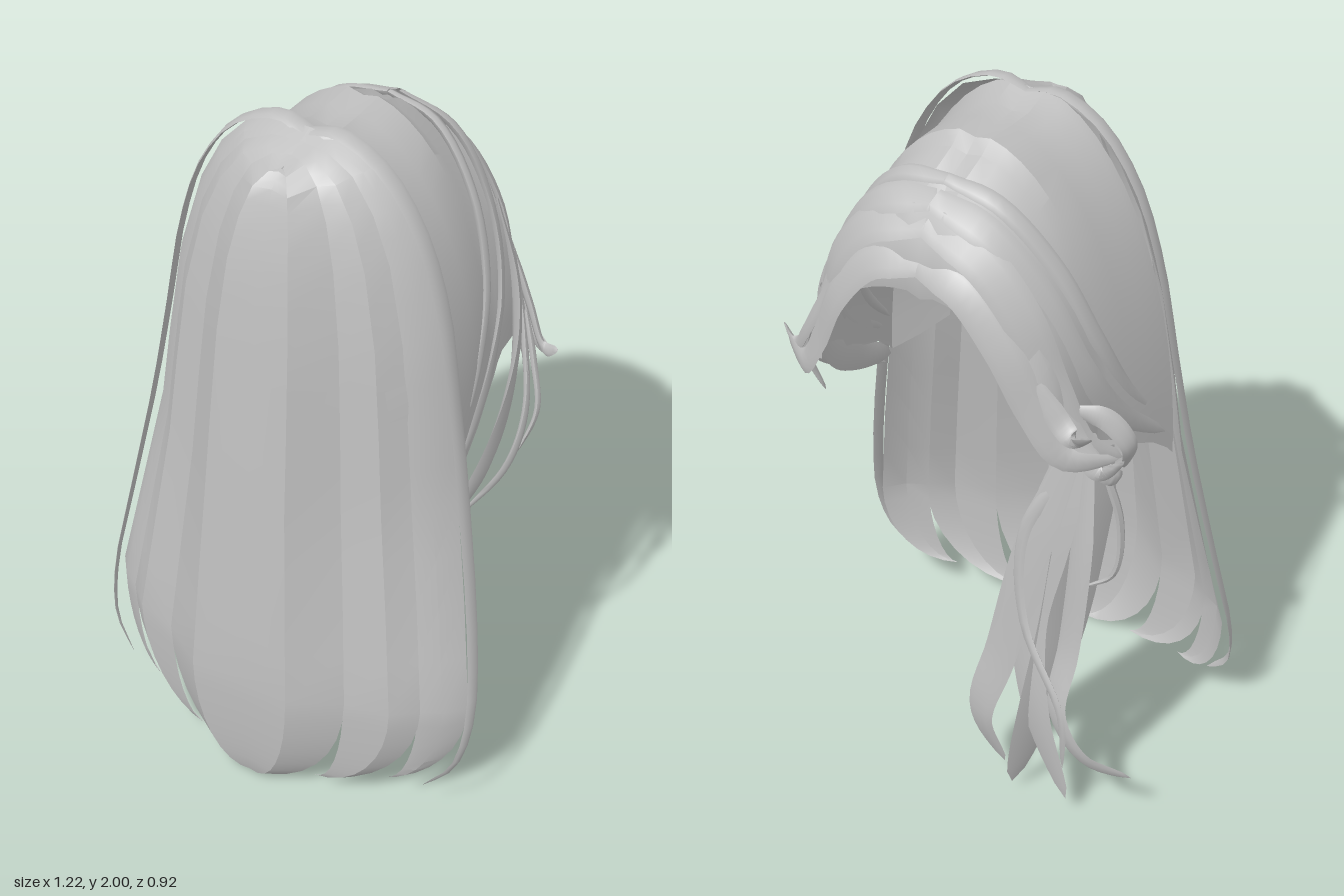
import * as THREE from 'three';
import { toCreasedNormals } from 'three/addons/utils/BufferGeometryUtils.js';

const hair = new THREE.MeshStandardMaterial({ color: 0xbfbfbf, side: THREE.DoubleSide });
hair.name = 'hair grey';

// Surface from a grid of points: fn(i, j) -> [x, y, z]
function grid(rows, cols, fn, crease = 0.45) {
  const pos = [], idx = [];
  for (let i = 0; i <= rows; i++) for (let j = 0; j <= cols; j++) pos.push(...fn(i, j));
  for (let i = 0; i < rows; i++) for (let j = 0; j < cols; j++) {
    const a = i * (cols + 1) + j, b = a + cols + 1;
    idx.push(a, b, a + 1, a + 1, b, b + 1);
  }
  const g = new THREE.BufferGeometry();
  g.setAttribute('position', new THREE.Float32BufferAttribute(pos, 3));
  g.setIndex(idx);
  return toCreasedNormals(g, crease);
}

function mesh(name, geometry) {
  const m = new THREE.Mesh(geometry, hair);
  m.name = name;
  return m;
}

// Linear lookup in a table of rows
function sample(table, t) {
  const f = t * (table.length - 1), k = Math.min(Math.floor(f), table.length - 2);
  return table[k].map((v, n) => THREE.MathUtils.lerp(v, table[k + 1][n], f - k));
}

// Long curtain of hair: height, half width, outer z, edge z
const curtain = [
  [1.985, 0, 0.2, 0.08], [1.98, 0.1, 0.225, 0.075], [1.94, 0.2, 0.26, 0.07], [1.85, 0.285, 0.29, 0.07],
  [1.72, 0.355, 0.32, 0.07], [1.5, 0.42, 0.35, 0.08], [1.25, 0.458, 0.375, 0.09], [1, 0.49, 0.4, 0.1],
  [0.7, 0.545, 0.425, 0.14], [0.38, 0.6, 0.45, 0.19],
];

// One clump: section points [width fraction, depth fraction], ending in a hooked tip
function clump(section, tip, mirror = 1) {
  const upper = 18, lower = 8;
  return grid(upper + lower, section.length - 1, (i, j) => {
    const [fx, fz] = section[j];
    const [h, w, zf, ze] = sample(curtain, Math.min(i / upper, 1));
    let p = [fx * w, h * (1 - 0.03 * fz * (h / 2) ** 4), ze + (zf - ze) * fz];
    if (i > upper) {
      const a = (i - upper) / lower * Math.PI / 2, c = Math.cos(a), s = Math.sin(a);
      p = [tip[0] + (p[0] - tip[0]) * c, p[1] + (tip[1] - p[1]) * s, tip[2] + (p[2] - tip[2]) * c];
    }
    return [p[0] * mirror, p[1], p[2]];
  });
}

// Crown arches, the first two tucked inside the curtain: z, top, half width, hem
const crown = [
  [0.22, 1.82, 0.35, 1.08], [0.15, 1.91, 0.41, 1.03],
  [0.085, 1.995, 0.46, 1], [0.06, 1.985, 0.455, 1.03], [0, 1.965, 0.445, 1.08], [-0.08, 1.965, 0.43, 1.12],
  [-0.17, 1.97, 0.41, 1.18], [-0.21, 1.94, 0.4, 1.2], [-0.28, 1.91, 0.4, 1.23], [-0.31, 1.885, 0.395, 1.25],
  [-0.38, 1.86, 0.395, 1.27], [-0.42, 1.79, 0.385, 1.28], [-0.44, 1.7, 0.37, 1.28], [-0.43, 1.63, 0.35, 1.28],
];

function crownGeometry() {
  const cols = 28;
  return grid(crown.length - 1, cols, (i, j) => {
    const [z, top, w, hem] = crown[i], a = (j / cols - 0.5) * Math.PI;
    const x = w * Math.sin(a), notch = j === cols / 2 ? 0.015 : 0;
    return [x, hem + (top - hem) * Math.cos(a) - notch, z + (z < -0.25 ? 0.35 * x * x : 0)];
  });
}

// Flat lens-shaped lock along a curve, narrowing to a tip; root = relative width at its start,
// facing = fixed direction of its flat face (otherwise away from the head)
function strand(points, width, { thick = 0.01, root = 0.5, mirror = 1, facing } = {}) {
  const curve = new THREE.CatmullRomCurve3(points.map(p => new THREE.Vector3(p[0] * mirror, p[1], p[2])));
  const n = 26, sides = 6;
  const frames = [];
  for (let i = 0; i <= n; i++) {
    const t = i / n, p = curve.getPoint(t), tan = curve.getTangent(t);
    const out = facing ? new THREE.Vector3(...facing) : new THREE.Vector3(p.x, Math.max(0, p.y - 1.4), p.z).normalize();
    const side = new THREE.Vector3().crossVectors(tan, out).normalize();
    const nor = new THREE.Vector3().crossVectors(side, tan).normalize();
    const k = Math.min(1, root + t * 2.5) * Math.sqrt(Math.max(0, 1 - t ** 3));
    frames.push({ p, side, nor, k });
  }
  return grid(n, sides, (i, j) => {
    const { p, side, nor, k } = frames[i], a = j / sides * Math.PI * 2;
    return p.clone().addScaledVector(side, Math.cos(a) * k * width / 2)
      .addScaledVector(nor, Math.sin(a) * k * thick).toArray();
  }, 0.8);
}

export function createModel() {
  const model = new THREE.Group();
  model.name = 'longHair';
  const add = (name, geometry) => model.add(mesh(name, geometry));

  // Long curtain
  add('curtainCentre', clump(
    [[-0.49, 0.67], [-0.26, 1], [0, 0.95], [0.26, 1], [0.49, 0.67]], [0, 0, 0.4]));
  for (const mirror of [1, -1]) {
    add('curtainMiddle', clump([[0.485, 0.67], [0.7, 0.55], [0.81, 0.33]], [0.19, 0.05, 0.36], mirror));
    add('curtainOuter', clump([[0.8, 0.34], [0.9, 0.22], [0.98, 0]], [0.39, 0.1, 0.3], mirror));
    // Ribbon framing the curtain
    add('edgeStrand', strand([[0, 1.975, 0.08], [0.09, 1.995, 0.08], [0.22, 1.935, 0.08], [0.33, 1.79, 0.08],
      [0.405, 1.58, 0.08], [0.455, 1.3, 0.09], [0.505, 1, 0.11], [0.575, 0.6, 0.16], [0.605, 0.35, 0.21],
      [0.58, 0.2, 0.25], [0.5, 0.11, 0.28]], 0.05, { thick: 0.005, root: 0.8, mirror }));
  }

  // Crown
  add('crown', crownGeometry());

  // Parted fringe and the bands sweeping over the sides
  for (const mirror of [1, -1]) {
    const o = { thick: 0.012, root: 0.7, mirror };
    add('fringe', strand([[0, 1.72, -0.425], [0.13, 1.69, -0.437], [0.25, 1.55, -0.435], [0.33, 1.38, -0.415],
      [0.41, 1.25, -0.385], [0.52, 1.25, -0.31]], 0.1, o));
    add('fringe', strand([[0, 1.82, -0.39], [0.16, 1.77, -0.4], [0.28, 1.63, -0.39], [0.355, 1.42, -0.36],
      [0.42, 1.26, -0.32], [0.49, 1.2, -0.24]], 0.11, o));
    add('crownBand', strand([[0, 1.9, -0.3], [0.15, 1.865, -0.29], [0.29, 1.71, -0.25], [0.375, 1.5, -0.19],
      [0.415, 1.3, -0.09], [0.445, 1.13, 0.06]], 0.05, o));
    add('crownBand', strand([[0, 1.87, -0.36], [0.16, 1.82, -0.36], [0.29, 1.67, -0.33], [0.375, 1.45, -0.27],
      [0.42, 1.26, -0.15], [0.455, 1.09, 0.05]], 0.09, o));
  }

  // Side band and loose strands on the left
  add('sideBand', strand([[0.29, 1.64, -0.37], [0.37, 1.45, -0.34], [0.43, 1.28, -0.27], [0.465, 1.14, -0.16],
    [0.48, 1.04, -0.03], [0.475, 0.97, 0.1]], 0.13, { thick: 0.012 }));
  add('leftStrand', strand([[0.35, 1.5, -0.37], [0.43, 1.28, -0.31], [0.51, 1.13, -0.19], [0.525, 1.03, -0.07],
    [0.48, 0.95, 0.08]], 0.05));
  add('leftStrand', strand([[0.3, 1.55, -0.4], [0.41, 1.34, -0.37], [0.48, 1.25, -0.33], [0.54, 1.28, -0.3]], 0.05));
  add('leftStrand', strand([[0.42, 1.35, -0.33], [0.48, 1.23, -0.28], [0.53, 1.13, -0.22], [0.5, 1, -0.18]], 0.04));

  // Curls on the right side
  const curls = [
    [[-0.36, 1.4, -0.36], [-0.42, 1.27, -0.34], [-0.48, 1.2, -0.33], [-0.53, 1.24, -0.3]],
    [[-0.4, 1.36, -0.32], [-0.47, 1.34, -0.29], [-0.52, 1.26, -0.26], [-0.49, 1.16, -0.23]],
    [[-0.39, 1.3, -0.34], [-0.45, 1.2, -0.31], [-0.49, 1.15, -0.27], [-0.45, 1.12, -0.21]],
    [[-0.33, 1.46, -0.4], [-0.4, 1.35, -0.39], [-0.44, 1.33, -0.4], [-0.5, 1.37, -0.42]],
  ];
  for (const c of curls) add('curl', strand(c, 0.06));

  // Wavy lock hanging on the right side: path, width, facing
  const outward = [-0.9, 0, -0.45], back = [0.25, 0, -0.97];
  const locks = [
    [[[-0.43, 1.22, -0.27], [-0.4, 0.95, -0.285], [-0.36, 0.65, -0.3], [-0.31, 0.35, -0.345], [-0.24, 0.04, -0.375]], 0.18, outward],
    [[[-0.4, 1.24, -0.34], [-0.34, 0.95, -0.35], [-0.28, 0.65, -0.355], [-0.32, 0.35, -0.38], [-0.42, 0.07, -0.38]], 0.15, back],
    [[[-0.43, 1.22, -0.31], [-0.43, 0.9, -0.34], [-0.41, 0.6, -0.36], [-0.4, 0.4, -0.4], [-0.48, 0.26, -0.39], [-0.6, 0.2, -0.33]], 0.08, back],
    [[[-0.39, 1.2, -0.35], [-0.28, 0.85, -0.36], [-0.2, 0.5, -0.37], [-0.14, 0.25, -0.38], [-0.2, 0.08, -0.35]], 0.12, back],
    [[[-0.41, 1.2, -0.34], [-0.27, 0.95, -0.36], [-0.28, 0.65, -0.38], [-0.42, 0.42, -0.42], [-0.42, 0.2, -0.4]], 0.04, back],
    [[[-0.45, 1.2, -0.28], [-0.49, 0.98, -0.24], [-0.47, 0.8, -0.24], [-0.4, 0.75, -0.27]], 0.025, outward],
  ];
  for (const [path, width, facing] of locks) add('hangingLock', strand(path, width, { thick: 0.008, root: 0.6, facing }));

  return model;
}
